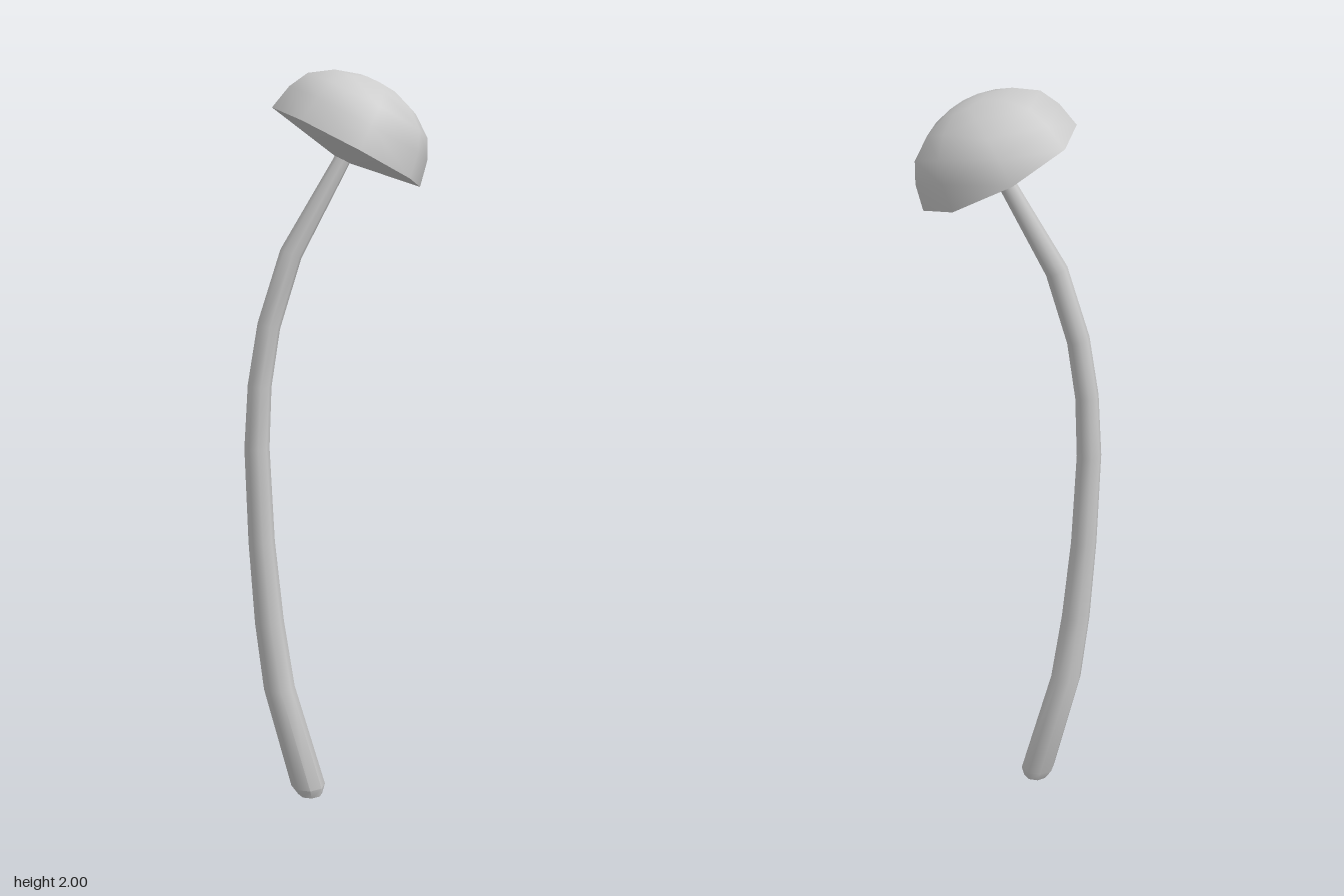
import * as THREE from 'three';
import { toCreasedNormals } from 'three/addons/utils/BufferGeometryUtils.js';

const SIDES = 8;
const CREASE = 0.9;

// Stem rings from top to base: x, y, radius, tilt of the ring
const STEM_RINGS = [
  [0.03, 1.80, 0.021, -0.48],
  [0.014, 1.765, 0.022, -0.48],
  [-0.118, 1.53, 0.03, -0.4],
  [-0.178, 1.34, 0.031, -0.28],
  [-0.204, 1.18, 0.032, -0.12],
  [-0.213, 1.01, 0.034, 0],
  [-0.203, 0.75, 0.036, 0.05],
  [-0.184, 0.52, 0.04, 0.1],
  [-0.158, 0.325, 0.043, 0.08],
  [-0.078, 0.028, 0.048, 0],
  [-0.072, 0, 0.034, 0],
];

// Bent, tapering octagonal stem: a cylinder whose rows follow the rings
function createStem(material) {
  const rows = STEM_RINGS.length - 1;
  const geometry = new THREE.CylinderGeometry(1, 1, rows, SIDES, rows);
  const pos = geometry.attributes.position;
  for (let i = 0; i < pos.count; i++) {
    const [x, y, r, tilt] = STEM_RINGS[Math.round(rows / 2 - pos.getY(i))];
    const px = pos.getX(i) * r;
    const pz = pos.getZ(i) * r;
    pos.setXYZ(i, x + px * Math.cos(tilt), y + px * Math.sin(tilt), pz);
  }
  const stem = new THREE.Mesh(toCreasedNormals(geometry, CREASE), material);
  stem.name = 'stem';
  return stem;
}

// Tilted dome cap with a shallow conical underside
function createCap(material) {
  const profile = [
    [0, -0.036], [0.22, 0], [0.205, 0.068], [0.178, 0.12],
    [0.12, 0.16], [0.055, 0.181], [0, 0.186],
  ].map(([r, y]) => new THREE.Vector2(r, y));
  const geometry = toCreasedNormals(new THREE.LatheGeometry(profile, SIDES), CREASE);
  const cap = new THREE.Mesh(geometry, material);
  cap.name = 'cap';
  cap.position.set(0.03, 1.8025, 0);
  cap.rotation.z = -0.484;
  return cap;
}

export function createModel() {
  const material = new THREE.MeshStandardMaterial({ color: 0xcccccc });
  const mushroom = new THREE.Group();
  mushroom.name = 'mushroom';
  mushroom.add(createStem(material), createCap(material));
  return mushroom;
}
